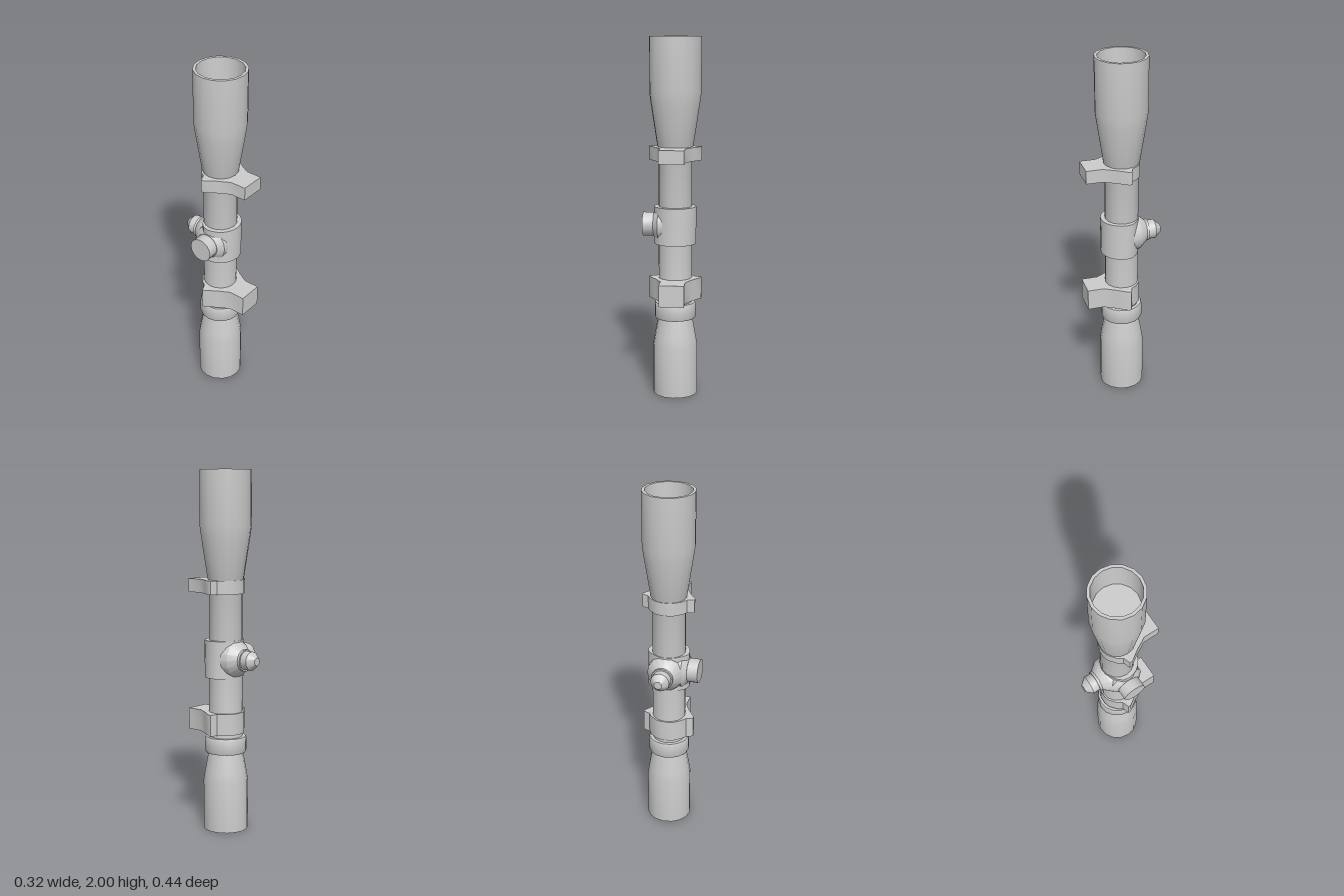
import * as THREE from 'three';
import { toCreasedNormals } from 'three/addons/utils/BufferGeometryUtils.js';

const material = new THREE.MeshStandardMaterial({ color: 0xcccccc });
const SIDES = 16;

function part(name, geometry, crease = 0.7) {
  const mesh = new THREE.Mesh(toCreasedNormals(geometry, crease), material);
  mesh.name = name;
  return mesh;
}

// Turned part from [radius, height] pairs, listed upwards along the outside
function turned(name, profile) {
  const points = profile.map(([r, y]) => new THREE.Vector2(r, y));
  return part(name, new THREE.LatheGeometry(points, SIDES));
}

// Clamp outline seen along the tube: foot in front, pointed ears at the sides
function mountRing(name, y, height) {
  const half = [
    [0.069, 0.215], [0.069, 0.125], [0.105, 0.06], [0.146, 0.0],
    [0.146, -0.016], [0.108, -0.03], [0.09, -0.058], [0.05, -0.09], [0.02, -0.099],
  ];
  const outline = [...half, ...half.map(([x, z]) => [-x, z]).reverse()];
  const shape = new THREE.Shape(outline.map(([x, z]) => new THREE.Vector2(x, -z)));
  const geometry = new THREE.ExtrudeGeometry(shape, { depth: height, bevelEnabled: false });
  geometry.rotateX(-Math.PI / 2);
  const ring = part(name, geometry, 0.6);
  ring.position.y = y;
  return ring;
}

// Housing: full radius in front, narrowing to the tube at the back
function turretHousing() {
  const geometry = new THREE.CylinderGeometry(1, 1, 0.208, 24);
  const p = geometry.attributes.position;
  for (let i = 0; i < p.count; i++) {
    const x = p.getX(i), z = p.getZ(i);
    const r = 0.117 - 0.022 * THREE.MathUtils.smoothstep(-z, 0.1, 0.9);
    p.setX(i, x * r);
    p.setZ(i, z * r);
  }
  const housing = part('turretHousing', geometry);
  housing.position.y = 0.97;
  return housing;
}

export function createModel() {
  const model = new THREE.Group();
  model.name = 'scope';

  // Main tube with hollow eyepiece below and hollow objective bell above
  model.add(turned('scopeTube', [
    [0, 0.08], [0.1, 0.08], [0.104, 0], [0.125, 0], [0.125, 0.28], [0.117, 0.33],
    [0.097, 0.44], [0.093, 0.46], [0.093, 1.39], [0.1, 1.41], [0.135, 1.64],
    [0.143, 1.7], [0.143, 2], [0.127, 2], [0.12, 1.83], [0, 1.83],
  ]));

  // Zoom collar
  model.add(turned('zoomCollar', [
    [0.09, 0.44], [0.112, 0.44], [0.116, 0.45], [0.116, 0.52], [0.112, 0.53], [0.09, 0.53],
  ]));

  model.add(mountRing('lowerMountRing', 0.55, 0.12));
  model.add(mountRing('upperMountRing', 1.33, 0.075));
  model.add(turretHousing());

  // Back adjustment turret: sloped boss, flange and chamfered cap
  const backTurret = new THREE.Group();
  backTurret.name = 'backTurret';
  backTurret.add(turned('backBoss', [[0.103, 0.03], [0.1, 0.09], [0.06, 0.135], [0, 0.135]]));
  backTurret.add(turned('backFlange', [[0.061, 0.125], [0.061, 0.148], [0, 0.148]]));
  backTurret.add(turned('backCap', [[0.053, 0.14], [0.053, 0.188], [0.022, 0.223], [0, 0.223]]));
  backTurret.rotation.x = -Math.PI / 2;
  backTurret.position.y = 0.97;
  model.add(backTurret);

  // Side adjustment turret: low boss and plain drum
  const sideTurret = new THREE.Group();
  sideTurret.name = 'sideTurret';
  sideTurret.add(turned('sideBoss', [[0.103, 0.03], [0.1, 0.09], [0.07, 0.118], [0, 0.118]]));
  sideTurret.add(turned('sideDrum', [[0.067, 0.09], [0.067, 0.178], [0, 0.178]]));
  sideTurret.rotation.z = Math.PI / 2;
  sideTurret.position.y = 0.97;
  model.add(sideTurret);

  // Sit the tube slightly off centre so the whole outline is centred
  model.position.set(0.0135, 0, 0.003);
  return model;
}
